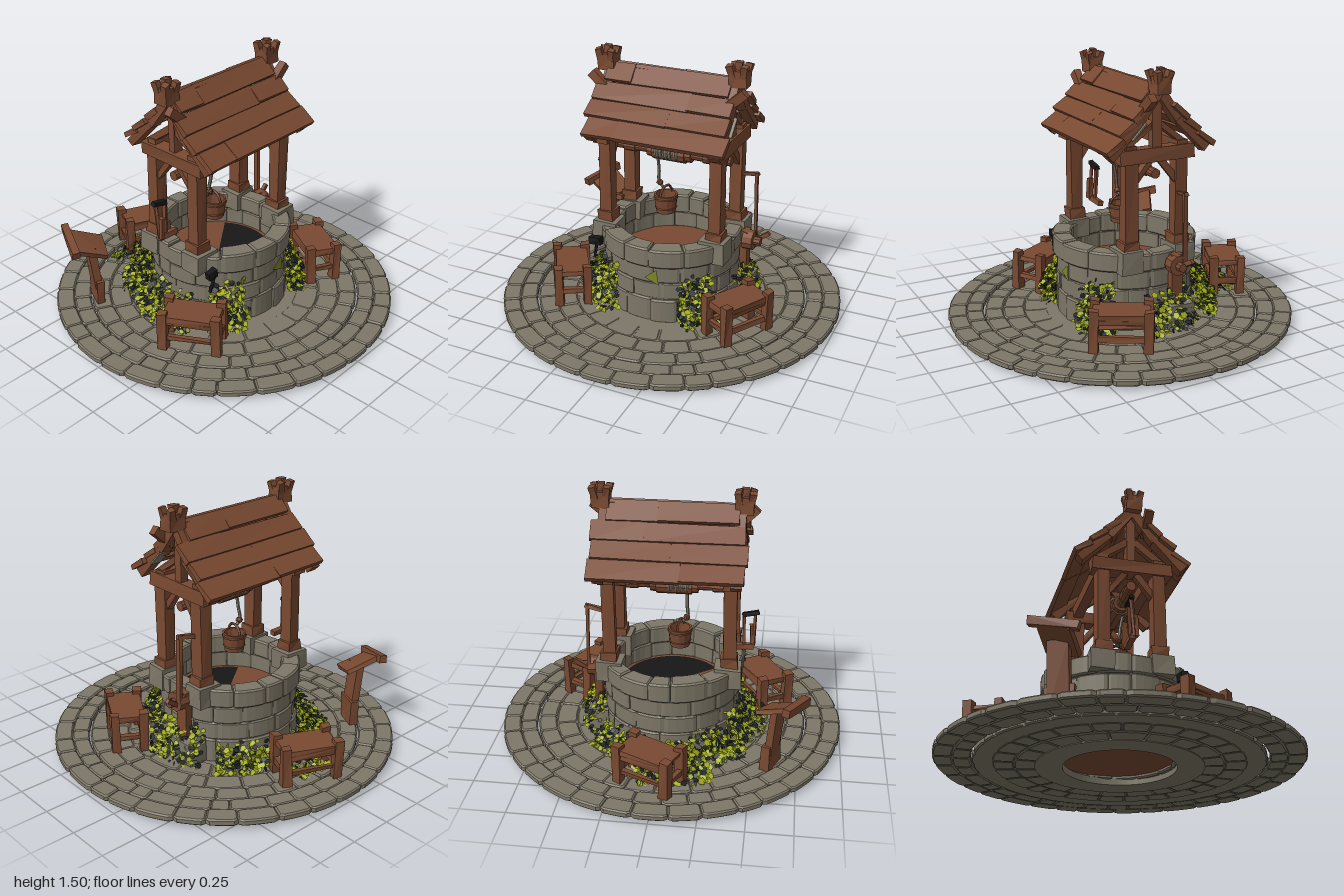
import * as THREE from 'three';
import { mergeGeometries } from 'three/addons/utils/BufferGeometryUtils.js';

const mat = (name, color, extra = {}) => Object.assign(new THREE.MeshStandardMaterial({ color, flatShading: true, ...extra }), { name });

export function createModel() {
  const wood = mat('wood', 0x794931), stone = mat('stone', 0x7d7767), metal = mat('dark metal', 0x171717);
  const rope = mat('rope', 0x7f796b), moss = mat('moss', 0x7d8528);
  const leaf = mat('light leaf', 0xa3ae1d, { side: THREE.DoubleSide });
  const darkLeaf = mat('dark leaf', 0x222627, { side: THREE.DoubleSide });
  const model = new THREE.Group();
  const well = new THREE.Group();
  well.name = 'well';
  well.position.set(-0.01, 0, -0.03);
  model.add(well);

  let seed = 7;
  const rnd = (a = 0, b = 1) => { seed = (seed * 16807) % 2147483647; return a + (b - a) * seed / 2147483647; };
  const V = (x, y, z) => new THREE.Vector3(x, y, z);
  const add = (parent, name, geo, m, x = 0, y = 0, z = 0) => {
    const mesh = new THREE.Mesh(geo, m);
    mesh.name = name;
    mesh.position.set(x, y, z);
    parent.add(mesh);
    return mesh;
  };
  // Rough-hewn box: corners shifted by a hash of their position
  const hewn = (w, h, d, amt = 0.005) => {
    const g = new THREE.BoxGeometry(w, h, d), p = g.attributes.position, k = rnd(1, 9);
    for (let i = 0; i < p.count; i++) {
      const [x, y, z] = [p.getX(i), p.getY(i), p.getZ(i)];
      const s = Math.sign(x) * 1.7 + Math.sign(y) * 3.1 + Math.sign(z) * 5.3 + k;
      p.setXYZ(i, x + Math.sin(s * 12.9) * amt, y + Math.sin(s * 7.7) * amt, z + Math.sin(s * 4.3) * amt);
    }
    g.computeVertexNormals();
    return g;
  };
  const box = (parent, name, w, h, d, x, y, z, m = wood) => add(parent, name, hewn(w, h, d), m, x, y, z);
  // Timber running between two points
  const beam = (parent, name, a, b, w, d, m = wood, amt = 0.004) => {
    const dir = b.clone().sub(a), mid = a.clone().add(b).multiplyScalar(0.5);
    const mesh = add(parent, name, hewn(w, dir.length(), d, amt), m, mid.x, mid.y, mid.z);
    mesh.quaternion.setFromUnitVectors(V(0, 1, 0), dir.normalize());
    return mesh;
  };

  // Bevelled stone following an arc, with clipped corners
  const arcStone = (r0, r1, a0, a1, y, h, clip) => {
    const s = new THREE.Shape(), n = 5;
    const at = i => i === 0 ? a0 : i === n ? a1 : a0 + (a1 - a0) * (0.12 + 0.76 * (i - 1) / (n - 2));
    const end = i => (i % n ? 0 : clip);
    for (let i = 0; i <= n; i++) s[i ? 'lineTo' : 'moveTo']((r1 - end(i)) * Math.cos(at(i)), (r1 - end(i)) * Math.sin(at(i)));
    for (let i = n; i >= 0; i--) s.lineTo((r0 + end(i)) * Math.cos(at(i)), (r0 + end(i)) * Math.sin(at(i)));
    const t = Math.min(0.009, h * 0.2);
    const g = new THREE.ExtrudeGeometry(s, { depth: h - 2 * t, bevelThickness: t, bevelSize: t, bevelOffset: -t, bevelSegments: 1 });
    return g.translate(0, 0, t).rotateX(-Math.PI / 2).translate(0, y, 0);
  };
  const ring = (parent, name, r0, r1, y, h, n, gap, jr, jy, clip) => {
    const start = rnd(0, 1), step = Math.PI * 2 / n, parts = [];
    const cut = Array.from({ length: n }, (_, i) => start + (i + rnd(-0.2, 0.2)) * step);
    cut.push(cut[0] + Math.PI * 2);
    for (let i = 0; i < n; i++)
      parts.push(arcStone(r0 + rnd(0, jr), r1 - rnd(0, jr), cut[i] + gap / r1, cut[i + 1] - gap / r1, y, h - rnd(0, jy), clip));
    return add(parent, name, mergeGeometries(parts), stone);
  };
  const bed = (name, r0, r1, y, h) => {
    const s = new THREE.Shape().absarc(0, 0, r1, 0, Math.PI * 2);
    s.holes.push(new THREE.Path().absarc(0, 0, r0, 0, Math.PI * 2, true));
    add(model, name, new THREE.ExtrudeGeometry(s, { depth: h, bevelEnabled: false, curveSegments: 32 }).rotateX(-Math.PI / 2), stone, 0, y, 0);
  };

  // Paving: concentric rings of stones, the inner ones on a bed
  [[0.895, 1.003, 0.02, 34], [0.799, 0.902, 0.018, 36], [0.685, 0.795, 0.012, 30], [0.565, 0.69, 0.008, 26], [0.43, 0.57, 0.004, 20]]
    .forEach(([r0, r1, y, n]) => ring(model, 'pavingRing', r0, r1, y, 0.04, n, 0.0005, 0.005, 0.006, 0.012));
  bed('pavingBed', 0.45, 0.782, 0.012, 0.025);
  bed('innerPavingBed', 0.31, 0.46, 0, 0.038);

  // Well wall courses and rim
  [[0.405, 0.03, 0.15], [0.398, 0.175, 0.11], [0.404, 0.28, 0.11]]
    .forEach(([r, y, h]) => ring(well, 'wallCourse', 0.315, r, y, h, 15, 0.001, 0.012, 0.004, 0.006));
  ring(well, 'rimCourse', 0.305, 0.42, 0.385, 0.12, 14, 0.001, 0.012, 0.02, 0.006);
  add(well, 'wallCore', new THREE.CylinderGeometry(0.385, 0.385, 0.44, 32, 1, true), stone, 0, 0.25, 0);
  add(well, 'wellFloor', new THREE.CylinderGeometry(0.325, 0.325, 0.24, 24), wood, 0, 0.17, 0);
  add(well, 'darkFloorHalf', new THREE.CircleGeometry(0.3, 20, -2.5, Math.PI).rotateX(-Math.PI / 2), metal, 0, 0.293, 0);
  add(well, 'mossPatch', new THREE.CircleGeometry(0.055, 3), moss, 0.065, 0.325, 0.406).rotation.z = 3.3;
  box(well, 'buttressStone', 0.12, 0.13, 0.15, 0.41, 0.11, -0.12, stone);

  // Posts, feet, tie beams and braces
  for (const sx of [-1, 1]) {
    const x = sx * 0.34;
    for (const sz of [-1, 1]) {
      const z = sz * 0.155;
      box(well, 'rimBlock', 0.15, 0.12, 0.13, sx * 0.335, 0.45, z * 1.05, stone);
      box(well, 'postFoot', 0.095, 0.055, 0.095, x, 0.535, z);
      box(well, 'post', 0.072, 0.56, 0.075, x, 0.77, z);
      beam(well, 'lowerBrace', V(x, 0.87, sz * 0.13), V(x, 1.0, sz * 0.03), 0.04, 0.035);
      beam(well, 'gableStrut', V(x, 1.07, sz * 0.19), V(x, 1.2, sz * 0.015), 0.04, 0.035);
      beam(well, 'upperRafter', V(sx * 0.37, 1.38, 0), V(sx * 0.37, 1.2, sz * 0.13), 0.06, 0.05);
      beam(well, 'lowerRafter', V(sx * 0.37, 1.22, sz * 0.12), V(sx * 0.37, 1.04, sz * 0.295), 0.06, 0.05);
    }
    box(well, 'tieBeam', 0.085, 0.08, 0.45, x, 1.03, 0);
    box(well, 'kingPost', 0.055, 0.34, 0.05, x, 1.22, 0);
    // Split finial on the ridge end
    const fx = sx * 0.393;
    box(well, 'finialBlock', 0.1, 0.1, 0.085, fx, 1.41, 0);
    box(well, 'finialCore', 0.04, 0.06, 0.035, fx, 1.475, 0);
    for (const px of [-1, 1]) for (const pz of [-1, 1])
      beam(well, 'finialProng', V(fx + px * 0.028, 1.42, pz * 0.022), V(fx + px * 0.042, 1.485, pz * 0.038), 0.036, 0.036);
    beam(well, 'purlinEnd', V(sx * 0.34, 1.25, 0.08), V(sx * 0.46, 1.36, 0.08), 0.05, 0.045);
  }
  for (const z of [-0.155, 0.155]) box(well, 'sideBeam', 0.74, 0.06, 0.06, 0, 1.06, z);
  box(well, 'ridgePole', 0.74, 0.05, 0.05, 0, 1.375, 0);

  // Roof: four overlapping rows of boards on each slope
  const profile = [[0, 1.415], [0.075, 1.315], [0.15, 1.23], [0.23, 1.15], [0.318, 1.07]];
  for (const s of [-1, 1]) for (let r = 0; r < 4; r++) {
    const [z0, y0] = profile[r], [z1, y1] = profile[r + 1];
    const half = r ? 0.42 : 0.37, cuts = [-half + rnd(-0.015, 0.02), rnd(-0.22, 0.22), half + rnd(-0.02, 0.015)];
    for (let i = 0; i < 2; i++) {
      const x = (cuts[i] + cuts[i + 1]) / 2, drop = rnd(0, 0.01);
      beam(well, 'roofBoard', V(x, y0 - 0.012, s * z0), V(x, y1 - drop + 0.006, s * (z1 + 0.008)),
        cuts[i + 1] - cuts[i] + 0.004, 0.03, wood, 0.003);
    }
  }
  // Grey lining plates under the front slope
  beam(well, 'liningPlate', V(-0.16, 1.17, 0.17), V(-0.16, 1.075, 0.265), 0.18, 0.008, stone, 0);
  beam(well, 'eaveLiningPlate', V(0.385, 1.215, 0.09), V(0.385, 1.13, 0.172), 0.07, 0.008, stone, 0);

  // Windlass with a few turns of rope
  const shaft = (name, r, len, x, m) => { add(well, name, new THREE.CylinderGeometry(r, r, len, 10), m, x, 0.92, 0).rotation.z = Math.PI / 2; };
  shaft('windlassShaft', 0.028, 0.72, 0, wood);
  shaft('windlassDrum', 0.056, 0.2, -0.01, wood);
  for (const x of [-0.12, 0.1]) shaft('drumRing', 0.046, 0.05, x, wood);
  for (const x of [-0.26, 0.23]) shaft('windlassCollar', 0.036, 0.07, x, wood);
  for (let i = 0; i < 5; i++)
    add(well, 'ropeCoil', new THREE.TorusGeometry(0.052, 0.014, 6, 14), rope, -0.08 + i * 0.027, 0.932, 0.004).rotation.y = Math.PI / 2 + rnd(-0.25, 0.25);
  const ropePath = new THREE.CatmullRomCurve3([V(-0.08, 0.9, 0.03), V(-0.08, 0.8, 0.01), V(-0.085, 0.72, 0), V(-0.06, 0.69, 0)]);
  add(well, 'hangingRope', new THREE.TubeGeometry(ropePath, 12, 0.01, 6), rope);
  add(well, 'ropeHook', new THREE.IcosahedronGeometry(0.022), wood, -0.08, 0.715, 0);

  // Bucket
  const bucketProfile = [[0, 0.54], [0.057, 0.54], [0.071, 0.65], [0.058, 0.65], [0.05, 0.56], [0, 0.56]].map(([r, y]) => new THREE.Vector2(r, y));
  add(well, 'bucket', new THREE.LatheGeometry(bucketProfile, 12), wood, -0.042, 0, 0);
  for (const [y, r] of [[0.57, 0.061], [0.63, 0.068]])
    add(well, 'bucketHoop', new THREE.TorusGeometry(r, 0.005, 5, 14), wood, -0.042, y, 0).rotation.x = Math.PI / 2;
  add(well, 'bucketHandle', new THREE.TorusGeometry(0.06, 0.008, 5, 12, Math.PI), wood, -0.042, 0.64, 0).rotation.y = 1.4;

  // Crank on the +x side
  const crank = new THREE.Group();
  crank.name = 'crank';
  model.add(crank);
  box(crank, 'crankPost', 0.045, 0.3, 0.07, 0.41, 0.32, -0.125);
  add(crank, 'crankWheel', new THREE.CylinderGeometry(0.058, 0.058, 0.06, 10), wood, 0.44, 0.415, -0.115).rotation.z = Math.PI / 2;
  add(crank, 'crankHub', new THREE.CylinderGeometry(0.025, 0.025, 0.1, 8), wood, 0.46, 0.415, -0.115).rotation.z = Math.PI / 2;
  beam(crank, 'crankHandle', V(0.46, 0.4, -0.13), V(0.55, 0.46, -0.15), 0.025, 0.025);
  beam(crank, 'crankRod', V(0.465, 0.44, -0.15), V(0.455, 0.82, -0.155), 0.018, 0.026);
  beam(crank, 'crankArm', V(0.34, 0.795, -0.17), V(0.47, 0.815, -0.155), 0.022, 0.022);

  // Hanging bracket on the -x side
  const bracket = new THREE.Group();
  bracket.name = 'bracket';
  model.add(bracket);
  beam(bracket, 'bracketTop', V(-0.5, 0.785, -0.06), V(-0.41, 0.77, -0.06), 0.022, 0.03, metal);
  beam(bracket, 'outerRod', V(-0.485, 0.78, -0.06), V(-0.475, 0.57, -0.04), 0.014, 0.016);
  beam(bracket, 'innerRod', V(-0.418, 0.77, -0.06), V(-0.418, 0.55, -0.05), 0.016, 0.018);
  beam(bracket, 'lowerBar', V(-0.48, 0.57, -0.05), V(-0.34, 0.56, -0.05), 0.03, 0.03);
  box(bracket, 'bracketBlock', 0.025, 0.12, 0.035, -0.465, 0.63, -0.04);
  box(bracket, 'ladle', 0.07, 0.05, 0.04, -0.37, 0.41, 0.25, metal);
  beam(bracket, 'ladleHandle', V(-0.36, 0.4, 0.26), V(-0.38, 0.3, 0.25), 0.015, 0.015, metal);

  // Benches
  for (const [x, z, dx, dz] of [[-0.53, 0.26, 34, 56], [0.52, 0.27, -32, 56], [0.03, -0.7, 57, 25]]) {
    const b = new THREE.Group();
    b.name = 'bench';
    b.position.set(x, 0, z);
    b.rotation.y = Math.atan2(-dz, dx);
    model.add(b);
    box(b, 'seat', 0.31, 0.03, 0.19, 0, 0.24, 0);
    for (const s of [-1, 1]) {
      for (const t of [-1, 1]) box(b, 'leg', 0.052, 0.24, 0.05, s * 0.148, 0.162, t * 0.082);
      box(b, 'endRail', 0.03, 0.035, 0.16, s * 0.148, 0.13, 0);
      box(b, 'seatRail', 0.28, 0.03, 0.025, 0, 0.215, s * 0.08);
      box(b, 'lowerRail', 0.28, 0.03, 0.025, 0, 0.12, s * 0.08);
    }
  }

  // Lectern stand with a sloping top
  const stand = new THREE.Group();
  stand.name = 'lectern';
  stand.position.set(-0.62, 0, -0.46);
  stand.rotation.y = Math.atan2(-0.9, -0.43);
  model.add(stand);
  beam(stand, 'standBoard', V(0, 0.04, -0.02), V(0, 0.42, 0.02), 0.11, 0.045);
  box(stand, 'standFoot', 0.15, 0.16, 0.05, 0, 0.12, -0.015);
  beam(stand, 'standTop', V(0, 0.385, -0.07), V(0, 0.455, 0.12), 0.18, 0.028).rotateY(-0.25);
  beam(stand, 'topLedge', V(-0.13, 0.485, 0.125), V(0.13, 0.44, 0.125), 0.045, 0.045);

  // Ivy and bushes: [from, to in degrees, inner radius, outer radius, height, leaves]
  const light = [], dark = [];
  for (const [a0, a1, r0, r1, h, n] of [[118, 146, 0.4, 0.5, 0.3, 320], [34, 62, 0.4, 0.5, 0.3, 320], [158, 216, 0.41, 0.56, 0.2, 440],
    [216, 245, 0.44, 0.6, 0.17, 300], [245, 282, 0.46, 0.73, 0.15, 420], [282, 318, 0.45, 0.55, 0.16, 250], [330, 372, 0.41, 0.52, 0.25, 320]])
    for (let i = 0; i < n; i++) {
      const a = THREE.MathUtils.degToRad(rnd(a0, a1)), k = Math.pow(rnd(), 1.3), r = r0 + (r1 - r0) * k;
      // Leaves face roughly outwards and upwards
      const g = new THREE.CircleGeometry(rnd(0.012, 0.022), 5).rotateX(rnd(-1.5, 0.1)).rotateY(Math.PI / 2 - a + rnd(-1.2, 1.2));
      g.translate(r * Math.cos(a), 0.04 + h * (1 - 0.6 * k) * rnd(), r * Math.sin(a) - 0.02);
      (rnd() < 0.57 ? light : dark).push(g);
    }
  add(model, 'lightFoliage', mergeGeometries(light), leaf);
  add(model, 'darkFoliage', mergeGeometries(dark), darkLeaf);
  return model;
}
